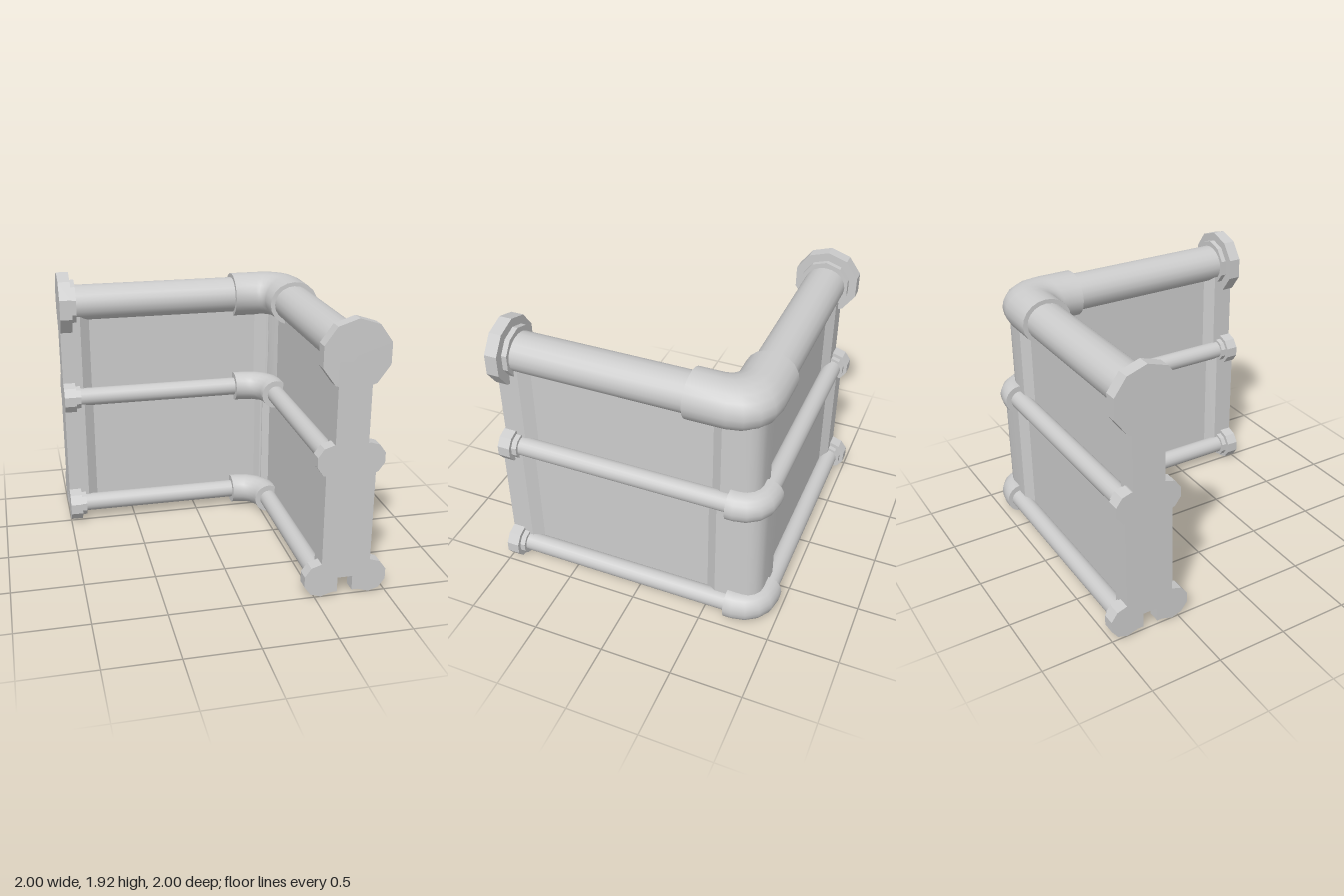
import * as THREE from 'three';
import { toCreasedNormals } from 'three/addons/utils/BufferGeometryUtils.js';

const smooth = new THREE.MeshStandardMaterial({ color: 0xcccccc });
const flat = new THREE.MeshStandardMaterial({ color: 0xcccccc, flatShading: true });
const BEND = 4; // segments around the corner

// Plan path of one profile point: stations [s, u] down the front arm,
// a rounded corner of radius r, then the same stations mirrored on the side arm
function cornerPath(stations, u, r) {
  const path = stations.map(([s, v]) => [v, s]);
  for (let i = 0; i <= BEND; i++) {
    const a = (i / BEND) * Math.PI / 2;
    path.push([u - r + r * Math.cos(a), -(u - r) - r * Math.sin(a)]);
  }
  for (const [s, v] of [...stations].reverse()) path.push([-s, -v]);
  return path;
}

// Closed convex profile (heights ys, plan paths) swept round the corner
function sweep(paths, ys, crease) {
  const n = ys.length, m = paths[0].length, pos = [], idx = [];
  for (let j = 0; j < m; j++)
    for (let i = 0; i < n; i++) pos.push(paths[i][j][0], ys[i], paths[i][j][1]);
  for (let j = 0; j < m - 1; j++)
    for (let i = 0; i < n; i++) {
      const k = (i + 1) % n, a = j * n + i, b = j * n + k;
      idx.push(a, a + n, b, b, a + n, b + n);
    }
  const e = (m - 1) * n;
  for (let i = 1; i < n - 1; i++) idx.push(0, i, i + 1, e, e + i + 1, e + i);
  const geo = new THREE.BufferGeometry();
  geo.setAttribute('position', new THREE.Float32BufferAttribute(pos, 3));
  geo.setIndex(idx);
  return toCreasedNormals(geo, crease);
}

// Bent sleeve: the bend radius grows from the inner to the outer side
function elbow(rail) {
  const { u, y, sleeve: [ru, ry], start, bend: [rIn, rOut] } = rail;
  const paths = [], ys = [], sides = 20;
  for (let i = 0; i < sides; i++) {
    const a = (i / sides) * Math.PI * 2, c = Math.cos(a), v = u + ru * c;
    paths.push(cornerPath([[-start, v]], v, rIn + (rOut - rIn) * (c + 1) / 2));
    ys.push(y + ry * Math.sin(a));
  }
  return sweep(paths, ys, 0.8);
}

// Wall layer with recessed panels between the end posts and the corner post
function wall(u0, u1, y0, y1) {
  const d = 0.05;
  const inner = cornerPath(
    [[1, u0], [0.85, u0], [0.78, u0 + d], [-0.5, u0 + d], [-(u0 - 0.015), u0]], u0, 0.01);
  const outer = cornerPath(
    [[1, u1], [0.85, u1], [0.78, u1 - d], [-0.5, u1 - d], [-0.57, u1]], u1, 0.12);
  return sweep([outer, outer, inner, inner], [y0, y1, y1, y0], 0.42);
}

export function createModel() {
  const model = new THREE.Group();
  const add = (name, geo, mat = smooth) => {
    const mesh = new THREE.Mesh(geo, mat);
    mesh.name = name;
    model.add(mesh);
  };
  // A part lying along z, placed on both arms
  const bothArms = (name, geo, u, y, s, mat) => {
    add(name + 'Front', geo.clone().translate(u, y, s), mat);
    add(name + 'Side', geo.clone().rotateY(-Math.PI / 2).translate(-s, y, -u), mat);
  };
  const rod = (name, ru, ry, sides, u, y, s0, s1, mat) => {
    const geo = new THREE.CylinderGeometry(1, 1, s1 - s0, sides).rotateX(Math.PI / 2).scale(ru, ry, 1);
    bothArms(name, geo, u, y, (s0 + s1) / 2, mat);
  };

  // Walls
  add('lowerWall', wall(0.545, 0.885, 0.13, 0.99));
  add('upperWall', wall(0.6, 0.825, 0.99, 1.65));

  // Rails with corner sleeves and stepped end flanges
  const rails = [
    { name: 'topRail', u: 0.717, y: 1.69, pipe: [0.147, 0.133], sleeve: [0.18, 0.163], start: 0.33, bend: [0.06, 0.28], flange: 0.235, step: 0.175 },
    { name: 'middleInnerRail', u: 0.595, y: 0.985, pipe: [0.067, 0.067], sleeve: [0.108, 0.108], start: 0.325, bend: [0.1, 0.27], flange: 0.115, step: 0.088 },
    { name: 'middleOuterRail', u: 0.835, y: 0.985, pipe: [0.067, 0.067], sleeve: [0.108, 0.108], start: 0.64, bend: [0.06, 0.25], flange: 0.115, step: 0.088 },
    { name: 'baseInnerRail', u: 0.545, y: 0.125, pipe: [0.067, 0.067], sleeve: [0.107, 0.11], start: 0.295, bend: [0.11, 0.3], flange: 0.122, step: 0.092 },
    { name: 'baseOuterRail', u: 0.885, y: 0.125, pipe: [0.067, 0.067], sleeve: [0.1, 0.11], start: 0.665, bend: [0.08, 0.26], flange: 0.122, step: 0.092 },
  ];
  for (const r of rails) {
    const flangeY = r.name.startsWith('base') ? 0.122 : r.y;
    rod(r.name + 'Pipe', r.pipe[0], r.pipe[1], 20, r.u, r.y, -r.start - 0.03, 0.9);
    rod(r.name + 'Step', r.step, r.step, 10, r.u, flangeY, 0.875, 0.92, flat);
    rod(r.name + 'Flange', r.flange, r.flange, 10, r.u, flangeY, 0.912, 1, flat);
    add(r.name + 'Elbow', elbow(r));
  }

  // Feet either side of the notch under the end posts
  for (const u of [0.635, 0.79])
    bothArms('foot', new THREE.BoxGeometry(0.05, 0.11, 0.088), u, 0.08, 0.956, flat);
  return model;
}
